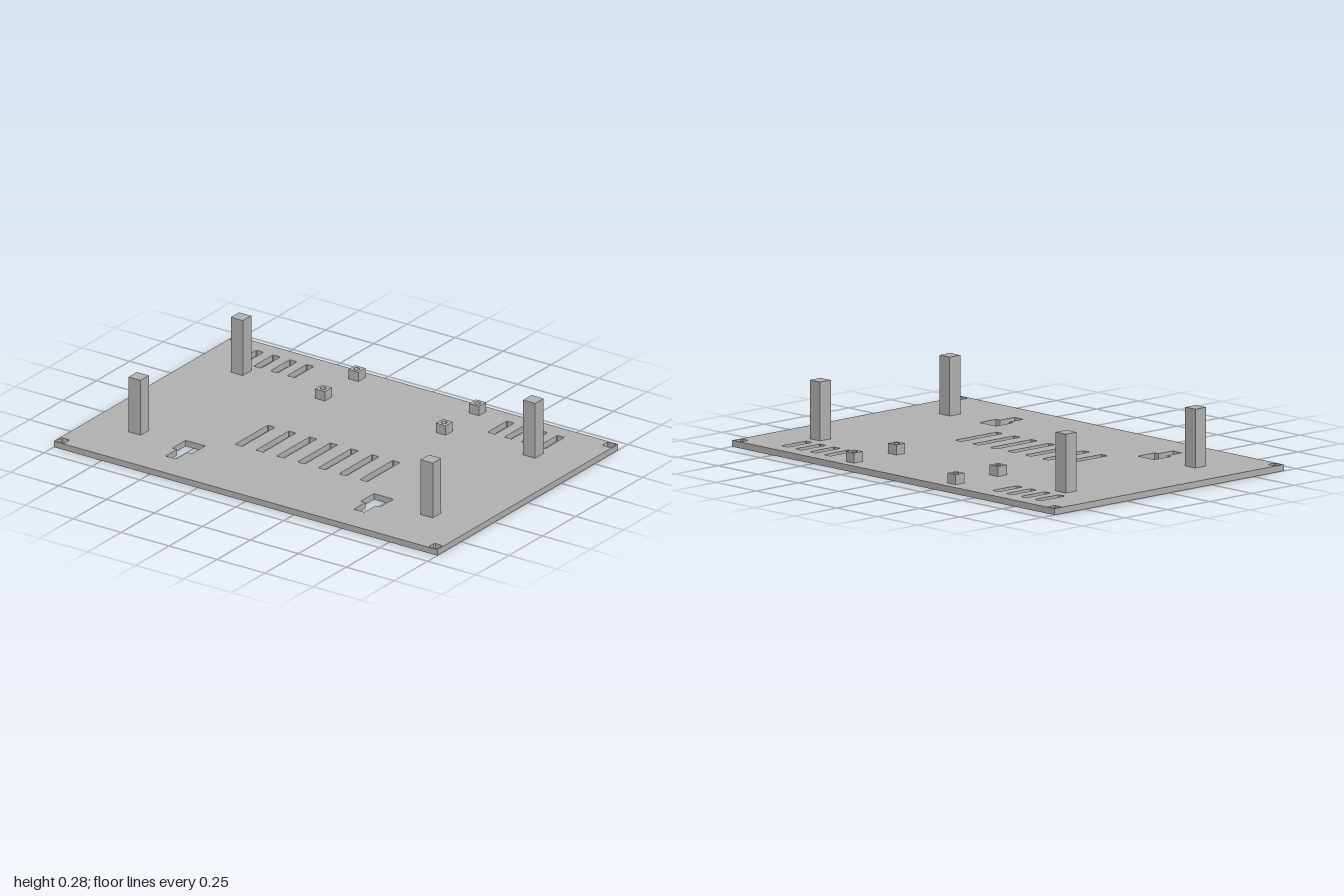
import * as THREE from 'three';

const THICK = 0.028;

// Closed outline of a rectangle in (x, z) with small corner chamfers
function rect(Type, x, z, w, d, c = 0) {
  const a = w / 2, b = d / 2;
  const pts = c
    ? [[-a + c, -b], [a - c, -b], [a, -b + c], [a, b - c], [a - c, b], [-a + c, b], [-a, b - c], [-a, -b + c]]
    : [[-a, -b], [a, -b], [a, b], [-a, b]];
  return new Type(pts.map(([u, v]) => new THREE.Vector2(x + u, z + v)));
}

// Lay an (x, z) outline flat and give it height from y0 to y1
function slab(shape, y0, y1) {
  const g = new THREE.ExtrudeGeometry(shape, { depth: y1 - y0, bevelEnabled: false, curveSegments: 8 });
  return g.rotateX(Math.PI / 2).translate(0, y1, 0);
}

export function createModel() {
  const model = new THREE.Group();
  model.name = 'mountingPlate';
  const grey = new THREE.MeshStandardMaterial({ color: 0xb0b0b0 });
  grey.name = 'grey';
  const add = (name, geometry) => {
    const mesh = new THREE.Mesh(geometry, grey);
    mesh.name = name;
    model.add(mesh);
    return mesh;
  };

  // Base plate with all its cut-outs
  const plate = rect(THREE.Shape, 0, 0, 2, 1.355);
  const cut = (...args) => plate.holes.push(rect(THREE.Path, ...args));

  for (const s of [-1, 1]) {
    // Corner screw holes
    for (const t of [-1, 1]) cut(s * 0.972, t * 0.65, 0.043, 0.043, 0.005);
    // Keyhole hangers: wide opening with a narrow neck towards the front
    const k = [[-0.051, 0.348], [0.051, 0.348], [0.051, 0.447], [0.027, 0.447],
      [0.027, 0.532], [-0.027, 0.532], [-0.027, 0.447], [-0.051, 0.447]];
    plate.holes.push(new THREE.Path(k.map(([x, z]) => new THREE.Vector2(s * 0.491 + x, z))));
  }
  // Rear vent slots
  for (const start of [-0.818, 0.489]) {
    for (let i = 0; i < 4; i++) cut(start + i * 0.0875, -0.532, 0.038, 0.144, 0.003);
  }
  // Central vent slots
  for (let i = -3; i <= 3; i++) cut(i * 0.1085, 0.138, 0.038, 0.245, 0.003);
  add('basePlate', slab(plate, 0, THICK));

  for (const x of [-1, 1]) {
    // Tall corner posts
    for (const z of [-0.383, 0.383]) {
      const post = add('tallPost', new THREE.BoxGeometry(0.063, 0.285 - THICK, 0.063));
      post.position.set(x * 0.762, (0.285 + THICK) / 2, z);
    }
    // Short standoffs with a blind screw hole
    for (const z of [-0.608, -0.358]) {
      const outline = rect(THREE.Shape, 0, 0, 0.052, 0.052);
      outline.holes.push(new THREE.Path().absarc(0, 0, 0.013, 0, Math.PI * 2, true));
      add('standoff', slab(outline, THICK, 0.072)).position.set(x * 0.315, 0, z);
    }
  }
  return model;
}
